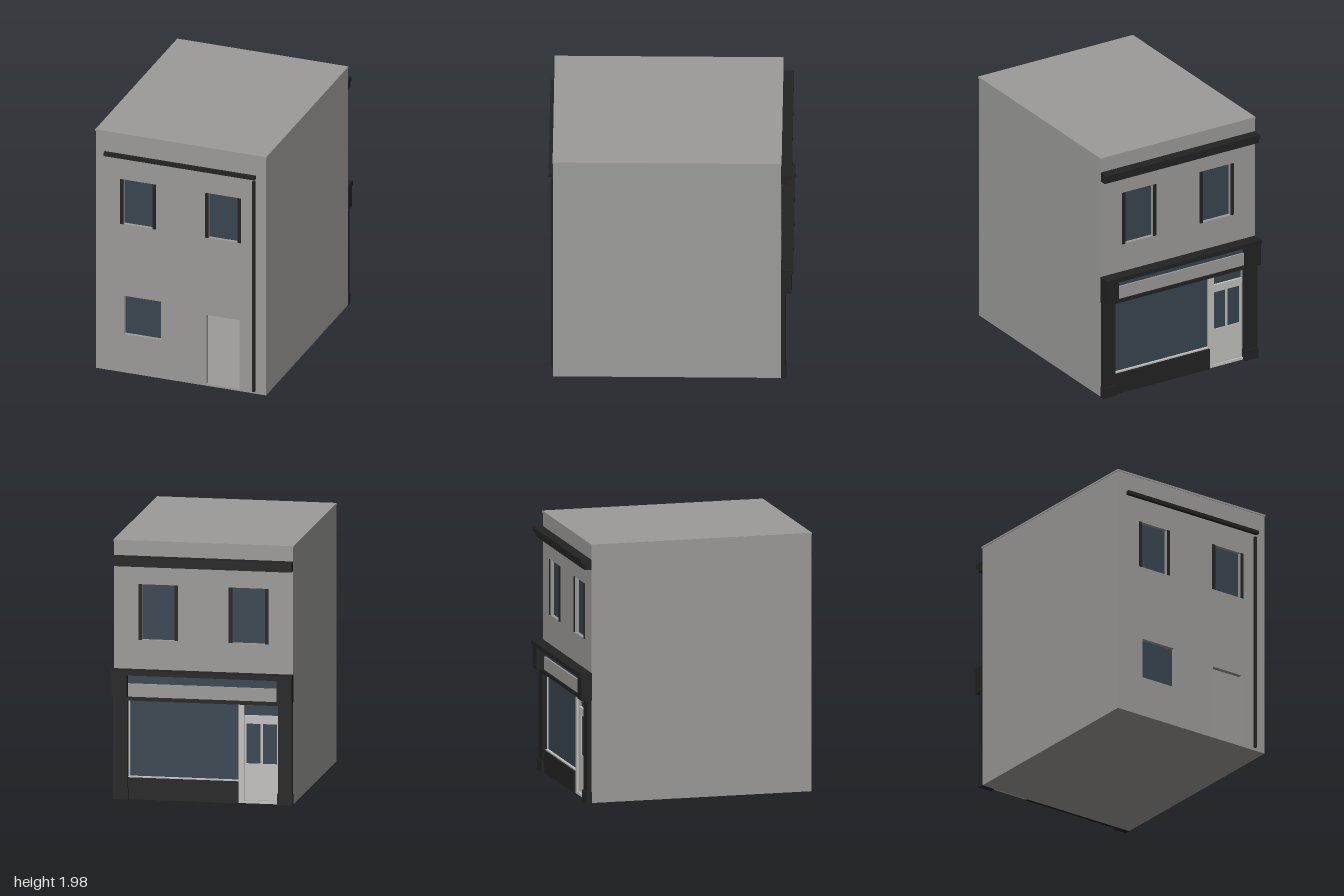
import * as THREE from 'three';

const mat = (name, color) => {
  const m = new THREE.MeshStandardMaterial({ color });
  m.name = name;
  return m;
};

export function createModel() {
  const wall = mat('grey render', 0x9c9b99);
  const black = mat('black paint', 0x232323);
  const glass = mat('dark glass', 0x38454f);
  const light = mat('light joinery', 0xc2c1be);
  const model = new THREE.Group();
  model.name = 'shopBuilding';

  // Box given by its limits on each axis
  const box = (name, m, x0, x1, y0, y1, z0, z1) => {
    const mesh = new THREE.Mesh(new THREE.BoxGeometry(x1 - x0, y1 - y0, z1 - z0), m);
    mesh.position.set((x0 + x1) / 2, (y0 + y1) / 2, (z0 + z1) / 2);
    mesh.name = name;
    model.add(mesh);
    return mesh;
  };

  // Wall with rectangular openings [x0, x1, y0, y1]
  const W = 0.685, H = 1.965, T = 0.035, FRONT = 0.885, BACK = -0.828;
  const rect = (path, [x0, x1, y0, y1]) => {
    path.moveTo(x0, y0);
    path.lineTo(x1, y0);
    path.lineTo(x1, y1);
    path.lineTo(x0, y1);
    path.closePath();
    return path;
  };
  const piercedWall = (name, z, openings) => {
    const shape = rect(new THREE.Shape(), [-W, W, 0, H]);
    openings.forEach((o) => shape.holes.push(rect(new THREE.Path(), o)));
    const geo = new THREE.ExtrudeGeometry(shape, { depth: T, bevelEnabled: false });
    const mesh = new THREE.Mesh(geo, wall);
    mesh.position.z = z;
    mesh.name = name;
    model.add(mesh);
  };

  // Yard side (front) openings
  const frontUpper = [[-0.463, -0.228, 1.23, 1.6], [0.22, 0.458, 1.23, 1.6]];
  const frontLower = [-0.455, -0.16, 0.318, 0.636];
  const doorway = [0.205, 0.47, 0.015, 0.588];
  piercedWall('frontWall', FRONT - T, [...frontUpper, frontLower, doorway]);

  // Street side (back) openings
  const backUpper = [[-0.47, -0.22, 1.22, 1.645], [0.22, 0.47, 1.22, 1.645]];
  const shopWindow = [-0.27, 0.575, 0.165, 0.755];
  const shopDoor = [-0.575, -0.31, 0.02, 0.765];
  piercedWall('backWall', BACK, [...backUpper, shopWindow, shopDoor]);

  // Shell
  for (const s of [-1, 1]) {
    const a = s * W, b = s * (W - T);
    box('sideWall', wall, Math.min(a, b), Math.max(a, b), 0, H, BACK + T, FRONT - T);
  }
  box('floor', wall, -W + T, W - T, 0, 0.012, BACK + T, FRONT - T);
  box('roof', wall, -W - 0.004, W + 0.004, H, 1.98, BACK - 0.004, FRONT + 0.004);

  // Window panes and the black strips beside the upper windows
  for (const o of [...frontUpper, frontLower]) box('frontPane', glass, ...o, FRONT - T, FRONT - T + 0.006);
  for (const o of backUpper) box('backPane', glass, ...o, BACK + T - 0.006, BACK + T);
  const strips = (openings, z) => openings.forEach(([x0, x1, y0, y1]) => {
    box('windowStrip', black, x0 - 0.026, x0, y0, y1, z, z + 0.006);
    box('windowStrip', black, x1, x1 + 0.026, y0, y1, z, z + 0.006);
  });
  strips(frontUpper, FRONT);
  strips(backUpper, BACK - 0.006);

  // Gutter and drainpipe
  box('gutter', black, -0.61, 0.605, 1.785, 1.814, 0.892, 0.92);
  box('drainpipe', black, 0.58, 0.6, 0.022, 1.765, FRONT, 0.906);

  // Roof cornice over the street
  box('corniceBed', black, -W, W, 1.787, 1.83, -0.884, BACK);
  box('corniceCap', black, -W, W, 1.83, 1.862, -0.91, BACK);

  // Shopfront surround: pilasters, plinths, corbel blocks, cap
  for (const s of [-1, 1]) {
    const post = (name, inner, outer, y0, y1, z) =>
      box(name, black, Math.min(s * inner, s * outer), Math.max(s * inner, s * outer), y0, y1, z, BACK);
    post('pilaster', 0.575, W, 0, 0.785, -0.863);
    post('plinth', 0.57, 0.69, 0, 0.085, -0.872);
    post('corbelBlock', 0.575, 0.69, 0.785, 0.96, -0.908);
  }
  box('shopfrontCap', black, -0.69, 0.69, 0.96, 0.995, -0.92, BACK);

  // Fascia: glass strip, sign board and black rail
  box('fasciaGlass', glass, -0.575, 0.575, 0.88, 0.96, BACK - 0.008, BACK);
  box('signBoard', wall, -0.575, 0.575, 0.785, 0.885, -0.85, BACK);
  box('fasciaRail', black, -0.575, 0.575, 0.757, 0.785, -0.862, BACK);

  // Shop window with a slim light frame over a black stall riser
  box('shopPane', glass, ...shopWindow, BACK + 0.014, BACK + 0.02);
  box('shopSill', light, -0.27, 0.575, 0.165, 0.175, BACK - 0.008, BACK + 0.012);
  box('shopFrameSide', light, 0.563, 0.575, 0.175, 0.755, BACK, BACK + 0.012);
  box('stallRiser', black, -0.27, 0.575, 0, 0.165, -0.852, BACK);

  // Shop entrance: post, transom light, double doors
  box('entrancePost', light, -0.312, -0.27, 0, 0.757, BACK - 0.012, BACK);
  box('threshold', light, -0.575, -0.312, 0, 0.02, BACK - 0.012, BACK);
  const zd = BACK + T;
  box('transomGlass', glass, -0.575, -0.31, 0.66, 0.765, zd - 0.01, zd);
  box('transomBar', light, -0.575, -0.31, 0.635, 0.67, zd - 0.03, zd);
  box('doorGlass', glass, -0.56, -0.325, 0.3, 0.61, zd - 0.012, zd - 0.006);
  box('doorLowerPanel', light, -0.575, -0.31, 0.02, 0.3, zd - 0.018, zd);
  box('doorTopRail', light, -0.575, -0.31, 0.605, 0.635, zd - 0.018, zd);
  for (const x of [-0.567, -0.4425, -0.318]) box('doorStile', light, x - 0.008, x + 0.008, 0.3, 0.61, zd - 0.018, zd);

  return model;
}
